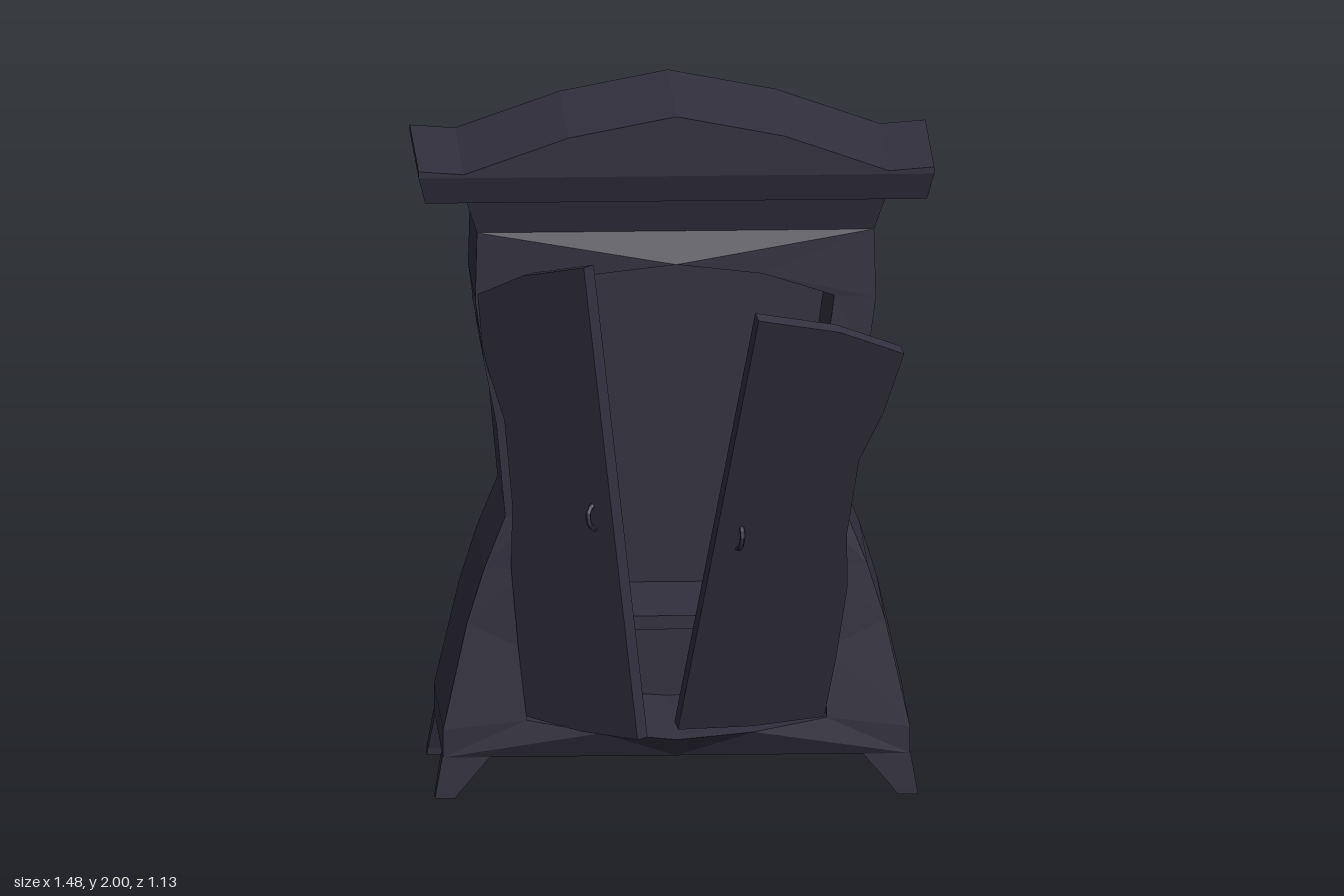
import * as THREE from 'three';

const wood = new THREE.MeshStandardMaterial({ color: 0x32303e, flatShading: true, side: THREE.DoubleSide });
wood.name = 'dark wood';

// Builds a faceted mesh from a list of four-cornered faces
function facets(name, quads) {
  const p = [];
  for (const [a, b, c, d] of quads) p.push(...a, ...b, ...c, ...a, ...c, ...d);
  const g = new THREE.BufferGeometry();
  g.setAttribute('position', new THREE.Float32BufferAttribute(p, 3));
  g.computeVertexNormals();
  const m = new THREE.Mesh(g, wood);
  m.name = name;
  return m;
}

// Skin between successive cross-sections
function loft(name, sections, { closed = true, caps = false } = {}) {
  const q = [];
  for (let i = 0; i + 1 < sections.length; i++) {
    const a = sections[i], b = sections[i + 1], n = a.length;
    for (let j = 0; j < (closed ? n : n - 1); j++) {
      const k = (j + 1) % n;
      q.push([a[j], a[k], b[k], b[j]]);
    }
  }
  if (caps) {
    const first = sections[0], last = sections[sections.length - 1];
    q.push([first[3], first[2], first[1], first[0]], last.slice(0, 4));
  }
  return facets(name, q);
}

// Body outline: height, half width, front z, back z
const rings = [
  [0.12, 0.67, 0.04, -0.56], [0.2, 0.67, 0.04, -0.56], [0.51, 0.60, 0.015, -0.527],
  [0.67, 0.55, 0.01, -0.52], [0.82, 0.49, 0.005, -0.515], [1.09, 0.515, -0.005, -0.51],
  [1.27, 0.55, -0.01, -0.505], [1.45, 0.575, -0.015, -0.5], [1.65, 0.57, -0.02, -0.493],
];
const neck = [1.745, 0.60, 0.008, -0.53];

function frontZ(y) {
  for (let i = 1; i < rings.length; i++) {
    const a = rings[i - 1], b = rings[i];
    if (y <= b[0]) return a[2] + (b[2] - a[2]) * Math.max(0, (y - a[0]) / (b[0] - a[0]));
  }
  return -0.02;
}

// Half outline of the doorway, and the body edge facing each point
const opening = [[0, 0.18], [0.22, 0.195], [0.43, 0.23], [0.431, 0.43], [0.423, 0.67], [0.39, 0.85],
  [0.383, 1.1], [0.428, 1.26], [0.455, 1.46], [0.25, 1.53], [0, 1.565]];
const edge = [[0, 0.12], [0.67, 0.12], [0.67, 0.2], [0.6, 0.51], [0.55, 0.67], [0.49, 0.82],
  [0.515, 1.09], [0.55, 1.27], [0.575, 1.45], [0.57, 1.65], [0, 1.65]];
const rimZ = (x, y) => frontZ(y) + 0.01 + 0.05 * (1 - x / 0.46);

function buildBody(group) {
  const u = ([y, w, f, b]) => [[w, y, f], [w, y, b], [-w, y, b], [-w, y, f]];
  group.add(loft('bodyShell', rings.map(u), { closed: false }));
  group.add(loft('neck', [rings[rings.length - 1], neck].map(u)));
  group.add(facets('bodyBottom', [u(rings[0])]));
  for (const s of [1, -1]) {
    const side = s > 0 ? 'left' : 'right';
    const outer = edge.map(([x, y]) => [s * x, y, frontZ(y)]);
    const rim = opening.map(([x, y]) => [s * x, y, rimZ(x, y)]);
    const deep = opening.map(([x, y]) => [s * x, y, -0.46]);
    const axis = opening.map(([, y]) => [0, y, -0.46]);
    group.add(loft(side + 'FrontFrame', [outer, rim], { closed: false }));
    group.add(loft(side + 'InteriorWall', [rim, deep], { closed: false }));
    group.add(loft(side + 'InteriorBack', [deep, axis], { closed: false }));
  }
  const shelf = new THREE.Mesh(new THREE.BoxGeometry(0.85, 0.04, 0.43), wood);
  shelf.position.set(0, 0.495, -0.245);
  shelf.name = 'shelf';
  group.add(shelf);
}

// Arched top with upturned ends and an undercut lower edge
function buildCrown(group) {
  const columns = [[-0.74, 1.845], [-0.61, 1.835], [-0.31, 1.94], [0, 2], [0.31, 1.94], [0.61, 1.835], [0.74, 1.845]];
  const sections = columns.map(([x, top]) => {
    const low = Math.abs(x) > 0.7 ? x * 0.973 : x;
    return [[x, top, 0.04], [x, top, -0.557], [x, 1.825, -0.557], [low, 1.745, -0.535],
      [low, 1.745, 0.012], [x, 1.825, 0.04]];
  });
  group.add(loft('crown', sections));
  for (const s of [sections[0], sections[6]])
    group.add(facets('crownEnd', [[s[0], s[1], s[2], s[5]], [s[5], s[2], s[3], s[4]]]));
}

// Splayed tapering feet
function buildFeet(group) {
  for (const sx of [1, -1]) for (const sz of [1, -1]) {
    const at = (x, y, z) => [sx * x, y, -0.26 + sz * z];
    const section = (y, x0, x1, z0, z1) => [at(x0, y, z0), at(x1, y, z0), at(x1, y, z1), at(x0, y, z1)];
    group.add(loft('foot', [section(0.12, 0.535, 0.672, 0.22, 0.3), section(0.02, 0.62, 0.69, 0.25, 0.302),
      section(0, 0.635, 0.693, 0.252, 0.302)], { caps: true }));
  }
}

// Door hung askew: origin is the inner lower corner, up follows the inner edge
function buildDoor(name, side, origin, across, up) {
  const door = new THREE.Group();
  door.name = name;
  const shape = new THREE.Shape(opening.map(([x, y]) => new THREE.Vector2(side * x, y - 0.18)));
  const panel = new THREE.Mesh(new THREE.ExtrudeGeometry(shape, { depth: 0.042, bevelEnabled: false }), wood);
  panel.position.z = -0.042;
  panel.name = name + 'Panel';
  // Bowed pull handle
  const bow = new THREE.CatmullRomCurve3([[-0.035, 0], [-0.02, 0.02], [0.02, 0.02], [0.035, 0]]
    .map(([y, z]) => new THREE.Vector3(side * 0.072, 0.65 + y, z)));
  const handle = new THREE.Mesh(new THREE.TubeGeometry(bow, 6, 0.008, 5), wood);
  handle.name = name + 'Handle';
  door.add(panel, handle);
  const Y = new THREE.Vector3(...up).normalize();
  const X = new THREE.Vector3(...across).multiplyScalar(side);
  X.addScaledVector(Y, -X.dot(Y)).normalize();
  const Z = new THREE.Vector3().crossVectors(X, Y);
  door.quaternion.setFromRotationMatrix(new THREE.Matrix4().makeBasis(X, Y, Z));
  door.position.set(...origin);
  return door;
}

export function createModel() {
  const group = new THREE.Group();
  group.name = 'wardrobe';
  buildBody(group);
  buildCrown(group);
  buildFeet(group);
  group.add(buildDoor('leftDoor', 1, [0, 0.22, 0.145], [0.42, 0.01, -0.09], [0.21, 1.28, 0.42]));
  group.add(buildDoor('rightDoor', -1, [-0.125, 0.24, 0.355], [-0.31, -0.01, -0.31], [-0.15, 1.36, -0.07]));
  return group;
}
